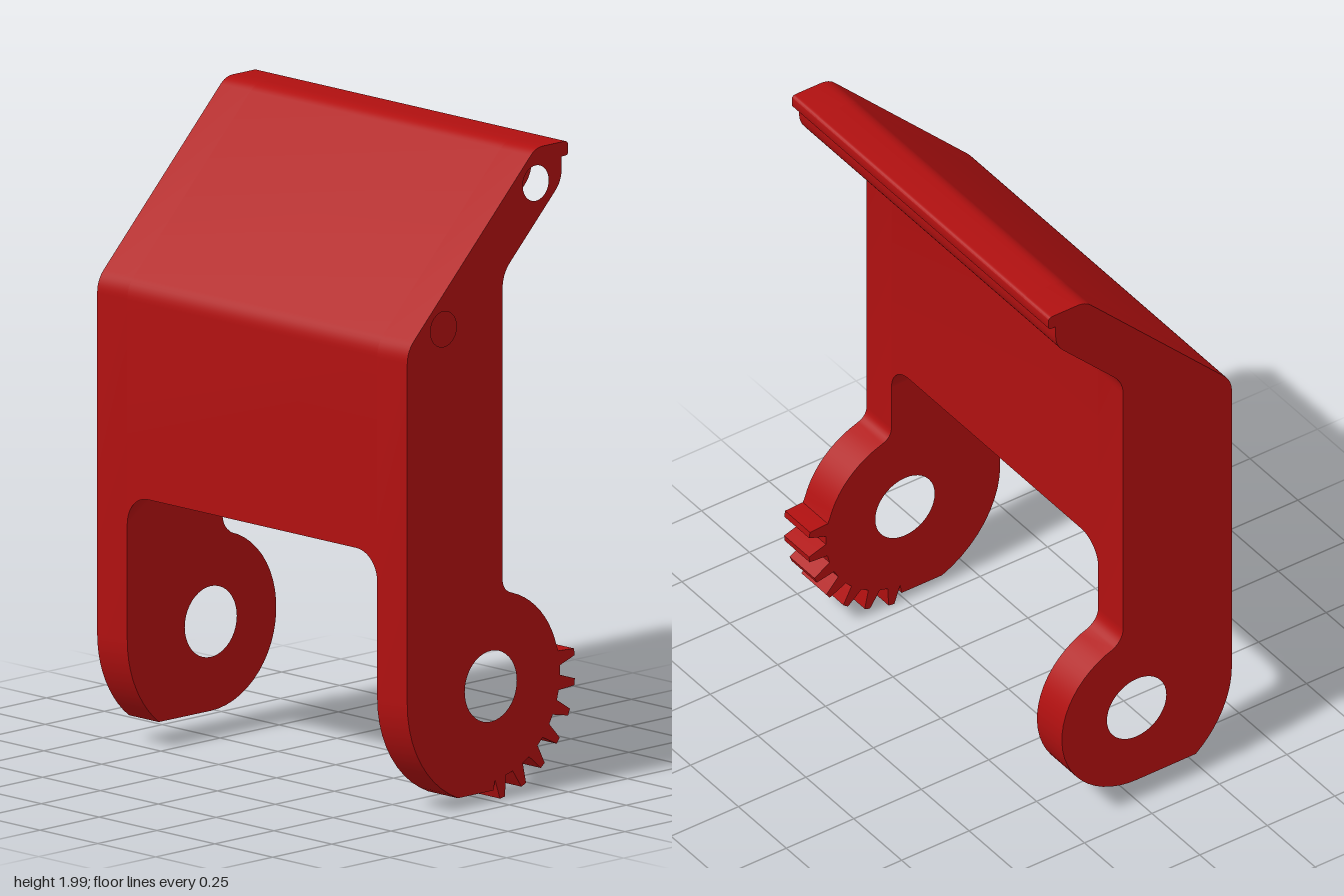
import * as THREE from 'three';
import { toCreasedNormals } from 'three/addons/utils/BufferGeometryUtils.js';

const RED = new THREE.MeshStandardMaterial({ color: 0xb01010 });
const GREY = new THREE.MeshStandardMaterial({ color: 0xcccccc });
const HINGE_Y = 0.36, FRONT = 0.353, BACK = -0.05;
const HALF = 0.67, INNER = 0.54;
const SCREWS = [[-0.19, 1.89], [0.2, 1.5]];
const COVE = Math.hypot(FRONT, 0.81 - HINGE_Y);
const coveY = z => HINGE_Y + Math.sqrt(COVE * COVE - z * z);

// Profile points are [z, y]; polar angles start at the back and turn downward
const polar = (deg, r) => {
  const t = THREE.MathUtils.degToRad(deg);
  return [-r * Math.cos(t), HINGE_Y - r * Math.sin(t)];
};
const arc = (a, b, r, n) =>
  Array.from({ length: n + 1 }, (_, i) => polar(a + (b - a) * i / n, r));

// Replace each [z, y, r] corner with a small curve
function roundCorners(points) {
  const out = [];
  points.forEach(([z, y, r], i) => {
    if (!r) return out.push(new THREE.Vector2(-z, y));
    const p = new THREE.Vector2(-z, y);
    const toward = k => {
      const q = points[(k + points.length) % points.length];
      return new THREE.Vector2(-q[0], q[1]).sub(p).setLength(r).add(p);
    };
    out.push(...new THREE.QuadraticBezierCurve(toward(i - 1), p, toward(i + 1)).getPoints(6));
  });
  return out;
}

// Extrude a side profile between two x positions
function slab(name, profile, holes, x0, x1) {
  const shape = new THREE.Shape(roundCorners(profile));
  for (const [z, y, r] of holes) {
    shape.holes.push(new THREE.Path().absarc(-z, y, r, 0, Math.PI * 2, true));
  }
  const geo = new THREE.ExtrudeGeometry(shape, { depth: x1 - x0, bevelEnabled: false, curveSegments: 20 });
  geo.rotateY(Math.PI / 2).translate(x0, 0, 0);
  const mesh = new THREE.Mesh(toCreasedNormals(geo, 0.5), RED);
  mesh.name = name;
  return mesh;
}

// Concave fillet between an arm and the curved underside of the body
function filletMesh(side) {
  const r = 0.09;
  const shape = new THREE.Shape();
  shape.moveTo(0, 0.02);
  shape.lineTo(0, -r);
  shape.absarc(r, -r, r, Math.PI, Math.PI / 2, true);
  shape.lineTo(r, 0.02);
  shape.closePath();
  let geo = new THREE.ExtrudeGeometry(shape, { depth: FRONT - BACK, steps: 12, bevelEnabled: false, curveSegments: 8 });
  geo.translate(-INNER, 0, BACK);
  if (side > 0) geo.rotateY(Math.PI).translate(0, 0, FRONT + BACK);
  const p = geo.attributes.position;
  for (let i = 0; i < p.count; i++) p.setY(i, p.getY(i) + coveY(p.getZ(i)));
  const mesh = new THREE.Mesh(toCreasedNormals(geo, 0.5), RED);
  mesh.name = side > 0 ? 'leftFillet' : 'rightFillet';
  return mesh;
}

export function createModel() {
  const group = new THREE.Group();

  // Bent cover outline, from the front bend over the top lip to the back bend
  const upper = [
    [FRONT, 1.455, 0.04], [-0.19, 2, 0.03], [-0.327, 2, 0.015], [-0.327, 1.955, 0.012],
    [-0.3, 1.955], [-0.3, 1.88, 0.04], [BACK, 1.63, 0.045],
  ];
  const cove = Array.from({ length: 15 }, (_, i) => {
    const z = BACK + (FRONT - BACK) * i / 14;
    return [z, coveY(z)];
  });
  const neck = [BACK, 0.65, 0.035];

  // Gear teeth around the lower back of the hub
  const teeth = [];
  for (let i = 0; i < 7; i++) {
    const c = -8 + 15 * i;
    for (const [d, r] of [[-4.5, 0.293], [-3, 0.325], [-1.7, 0.357], [1.7, 0.357], [3, 0.325], [4.5, 0.293]]) {
      teeth.push(polar(c + d, r));
    }
  }
  const gearEnd = [
    ...upper, neck, ...arc(-72, -16, 0.29, 10), ...teeth,
    [-0.012, 0.035], ...arc(113, 180, FRONT, 10),
  ];
  const plainEnd = [
    ...upper, neck, ...arc(-72, 90, 0.277, 24), ...arc(128.5, 180, FRONT, 10),
  ];

  const hinge = [0, HINGE_Y, 0.11];
  const screwHoles = r => SCREWS.map(([z, y]) => [z, y, r]);
  group.add(
    slab('coverBody', [...upper, ...cove], screwHoles(0.035), -INNER, INNER),
    slab('gearArm', gearEnd, [hinge, ...screwHoles(0.055)], INNER, HALF),
    slab('plainArm', plainEnd, [hinge], -HALF, -INNER),
    filletMesh(1),
    filletMesh(-1),
  );

  // Small pins deep in the side holes
  for (const [z, y] of SCREWS) {
    const pin = new THREE.Mesh(new THREE.CylinderGeometry(0.02, 0.02, 0.1, 20).rotateZ(Math.PI / 2), GREY);
    pin.position.set(0.46, y, z);
    pin.name = 'sidePin';
    group.add(pin);
  }
  return group;
}
